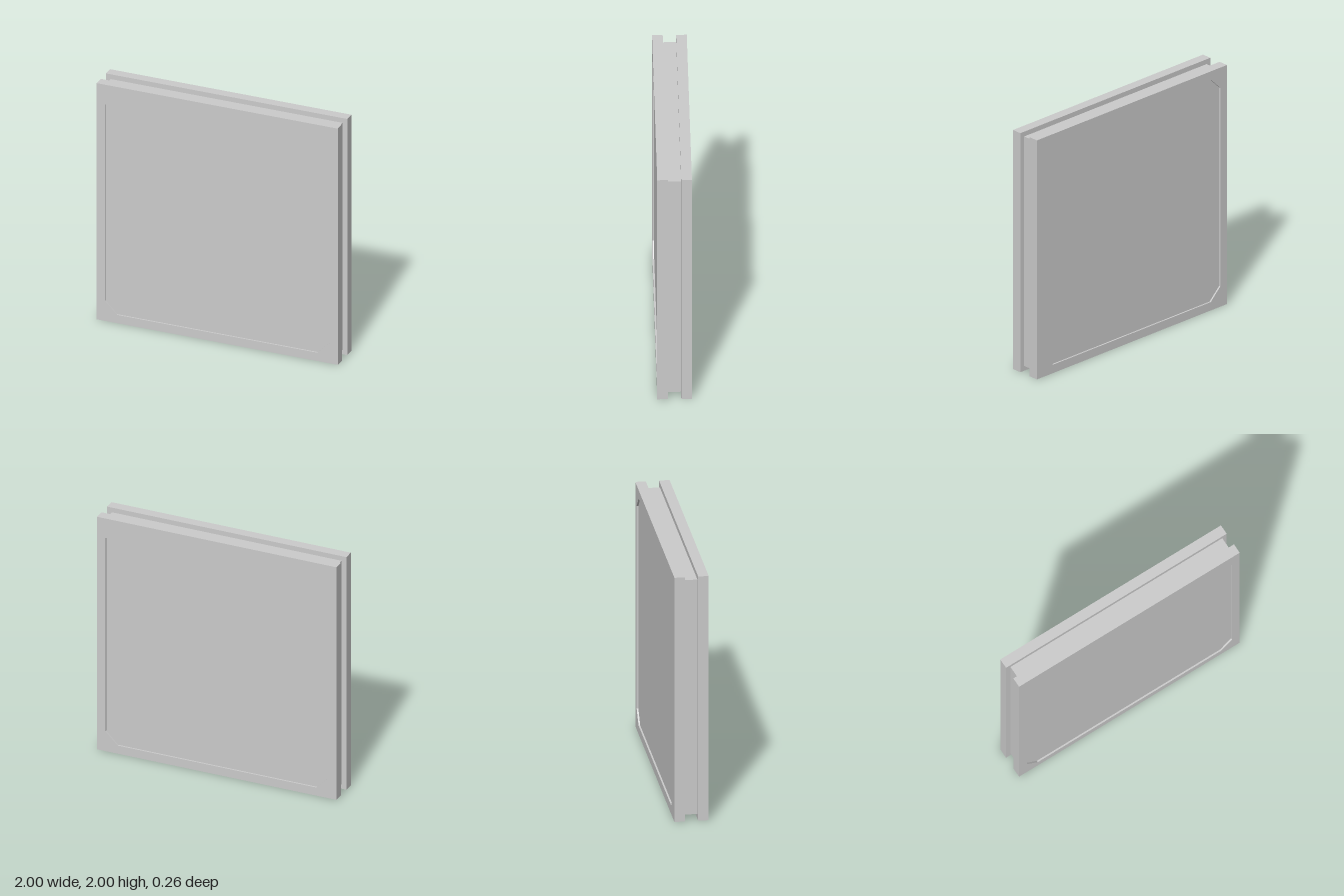
import * as THREE from 'three';

const CORE_Z = 0.051; // half thickness of the core
const FACE_Z = 0.132; // outer face of the plates
const RECESS = 0.013;

// Square of half-width h with corners cut by c
function outline(Type, h, c) {
  const k = h - c;
  const corners = c > 0
    ? [[h, -k], [h, k], [k, h], [-k, h], [-h, k], [-h, -k], [-k, -h], [k, -h]]
    : [[h, -h], [h, h], [-h, h], [-h, -h]];
  return new Type(corners.map(([x, y]) => new THREE.Vector2(x, y)));
}

export function createModel() {
  const model = new THREE.Group();
  const material = new THREE.MeshStandardMaterial({ color: 0xcccccc, flatShading: true });

  function add(parent, geometry, name, z) {
    const mesh = new THREE.Mesh(geometry, material);
    mesh.name = name;
    mesh.position.z = z;
    parent.add(mesh);
    return mesh;
  }
  const extrude = (shape, depth) => new THREE.ExtrudeGeometry(shape, { depth, bevelEnabled: false });

  // Inner slab, set back from the plate edges
  add(model, new THREE.BoxGeometry(1.92, 1.92, CORE_Z * 2), 'core', 0).position.y = 1;

  // Square frame around a slightly recessed, corner-cut panel
  const frame = outline(THREE.Shape, 1, 0);
  frame.holes.push(outline(THREE.Path, 0.93, 0.1));
  const frameGeometry = extrude(frame, FACE_Z - CORE_Z);
  const panelGeometry = extrude(outline(THREE.Shape, 0.93, 0.1), FACE_Z - CORE_Z - RECESS);

  // Same plate on front and back
  ['frontPlate', 'backPlate'].forEach((name, i) => {
    const plate = new THREE.Group();
    plate.name = name;
    add(plate, frameGeometry, 'frame', CORE_Z);
    add(plate, panelGeometry, 'recessedPanel', CORE_Z);
    plate.position.y = 1;
    plate.rotation.y = i * Math.PI;
    model.add(plate);
  });

  return model;
}
